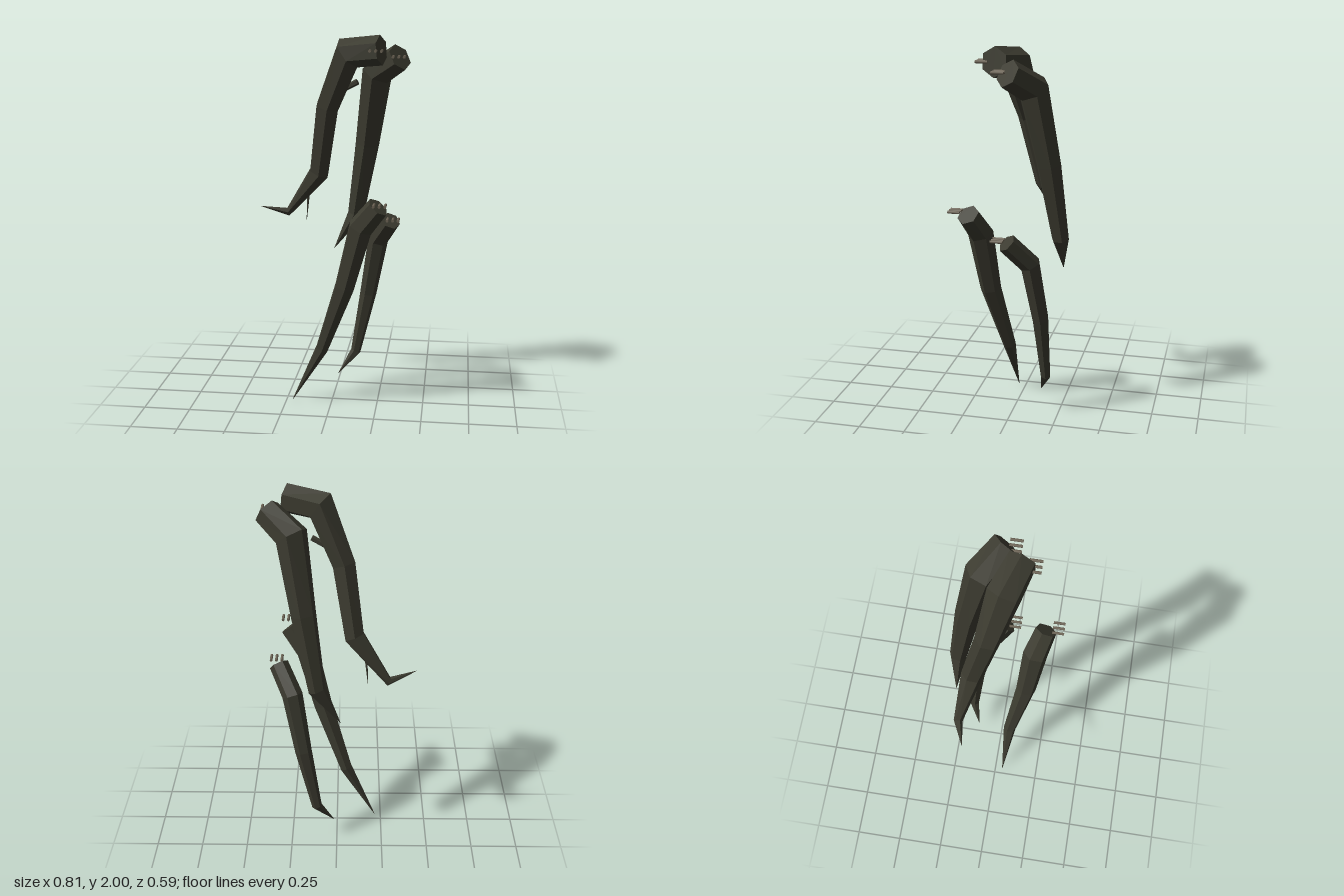
import * as THREE from 'three';

const hide = new THREE.MeshStandardMaterial({ color: 0x3c3b30, flatShading: true });
hide.name = 'dark hide';
const metal = new THREE.MeshStandardMaterial({ color: 0x6e6556 });
metal.name = 'dull metal';

// Six-sided tapering limb through [x, y, z, radius] stations, closed at the root
function limbGeometry(stations, sides = 6) {
  const pts = stations.map(([x, y, z]) => new THREE.Vector3(x, y, z));
  const dirs = pts.slice(1).map((p, i) => p.clone().sub(pts[i]).normalize());
  const pos = [], idx = [];
  const u = new THREE.Vector3(0, 1, 0);
  pts.forEach((p, i) => {
    // each ring lies in the plane halving the bend
    const t = dirs[Math.max(i - 1, 0)].clone().add(dirs[Math.min(i, dirs.length - 1)]).normalize();
    u.addScaledVector(t, -u.dot(t)).normalize();
    const v = t.clone().cross(u);
    for (let k = 0; k < sides; k++) {
      const a = (k / sides) * Math.PI * 2, r = stations[i][3];
      const q = p.clone().addScaledVector(u, r * Math.cos(a)).addScaledVector(v, r * Math.sin(a));
      pos.push(q.x, q.y, q.z);
    }
  });
  for (let i = 0; i < pts.length - 1; i++) {
    for (let k = 0; k < sides; k++) {
      const a = i * sides + k, b = i * sides + (k + 1) % sides;
      idx.push(a, b, a + sides, b, b + sides, a + sides);
    }
  }
  for (let k = 1; k < sides - 1; k++) idx.push(0, k + 1, k);
  const g = new THREE.BufferGeometry();
  g.setAttribute('position', new THREE.Float32BufferAttribute(pos, 3));
  g.setIndex(idx);
  const flat = g.toNonIndexed();
  flat.computeVertexNormals();
  return flat;
}

const TIP = 0.001;
const limbs = [
  {
    name: 'upperRightLimb',
    path: [[0.255, 1.92, 0.058, 0.077], [0.08, 1.9, 0.0, 0.088], [-0.035, 1.615, -0.06, 0.066],
      [-0.09, 1.25, -0.135, 0.058], [-0.27, 1.015, -0.185, 0.024], [-0.414, 1.053, -0.14, TIP]],
    pegs: { x: [0.203, 0.232, 0.262], y: 1.92, z: 0.122 },
  },
  {
    name: 'upperLeftLimb',
    path: [[0.345, 1.88, -0.03, 0.073], [0.22, 1.79, -0.13, 0.085], [0.165, 1.4, -0.2, 0.066],
      [0.1, 1.0, -0.25, 0.047], [-0.02, 0.8, -0.247, TIP]],
    pegs: { x: [0.313, 0.342, 0.37], y: 1.885, z: 0.015 },
  },
  {
    name: 'lowerRightLimb',
    path: [[0.258, 1.14, 0.2, 0.06], [0.165, 1.02, 0.16, 0.068], [0.08, 0.69, 0.13, 0.056],
      [-0.05, 0.315, 0.06, 0.036], [-0.217, 0, 0.042, TIP]],
    pegs: { x: [0.241, 0.27, 0.299], y: 1.16, z: 0.265 },
  },
  {
    name: 'lowerLeftLimb',
    path: [[0.31, 1.02, -0.015, 0.052], [0.235, 0.89, -0.12, 0.055], [0.18, 0.57, -0.165, 0.045],
      [0.11, 0.22, -0.18, 0.028], [0.017, 0.097, -0.138, TIP]],
    pegs: { x: [0.295, 0.324, 0.352], y: 1.035, z: 0.03 },
  },
  {
    // thin inner spike whose ends show beside the upper limb
    name: 'innerSpike',
    path: [[0.125, 1.75, -0.045, 0.016], [0.03, 1.7, -0.06, 0.016], [-0.04, 1.58, -0.075, 0.014],
      [-0.15, 1.14, -0.15, 0.008], [-0.163, 0.98, -0.157, TIP]],
  },
];

export function createModel() {
  const model = new THREE.Group();
  model.name = 'clawedLimbs';
  const pegGeometry = new THREE.CylinderGeometry(0.0075, 0.0075, 0.063, 8).rotateX(Math.PI / 2);
  for (const { name, path, pegs } of limbs) {
    const group = new THREE.Group();
    group.name = name;
    const claw = new THREE.Mesh(limbGeometry(path), hide);
    claw.name = name + 'Body';
    group.add(claw);
    // row of three pegs at the root
    if (pegs) {
      for (const x of pegs.x) {
        const peg = new THREE.Mesh(pegGeometry, metal);
        peg.name = 'peg';
        peg.position.set(x, pegs.y, pegs.z);
        group.add(peg);
      }
    }
    model.add(group);
  }
  return model;
}
